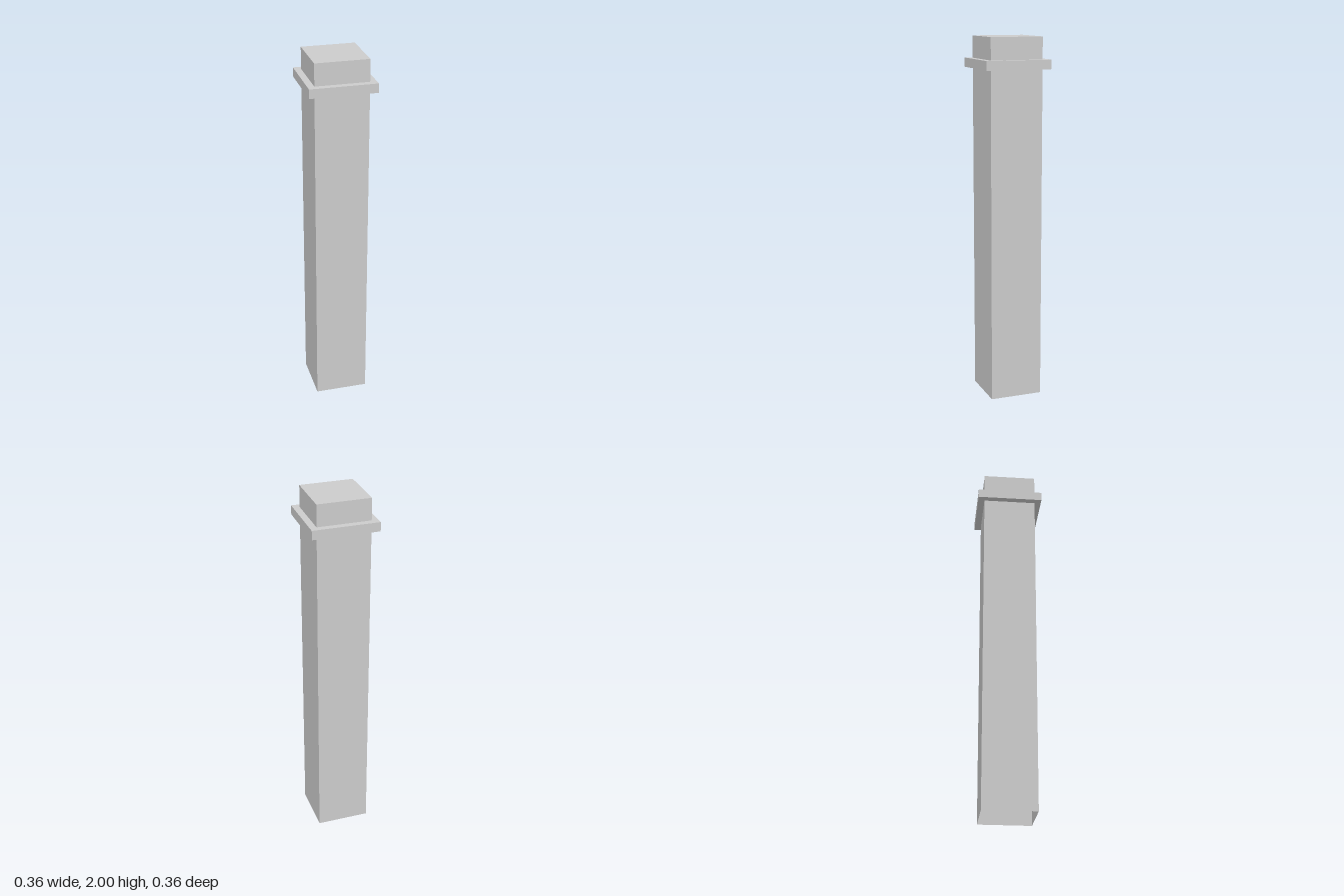
import * as THREE from 'three';

const material = new THREE.MeshStandardMaterial({
  color: 0xcccccc, flatShading: true, side: THREE.DoubleSide,
});

// Square turning: profile of [half width, height], listed so faces point outward
function squareLathe(name, profile) {
  const points = profile.map(([half, y]) => new THREE.Vector2(half * Math.SQRT2, y));
  const mesh = new THREE.Mesh(new THREE.LatheGeometry(points, 4, Math.PI / 4), material);
  mesh.name = name;
  return mesh;
}

export function createModel() {
  const group = new THREE.Group();
  group.name = 'post';

  const half = 0.146;
  const collarHalf = 0.182;

  // Hollow shaft, closed on top and open at the foot
  group.add(squareLathe('shaft', [[half, 0], [half, 2], [0, 2]]));

  // Thin square collar around the shaft
  group.add(squareLathe('collar', [
    [half, 1.83], [collarHalf, 1.83], [collarHalf, 1.88], [half, 1.88],
  ]));

  return group;
}
